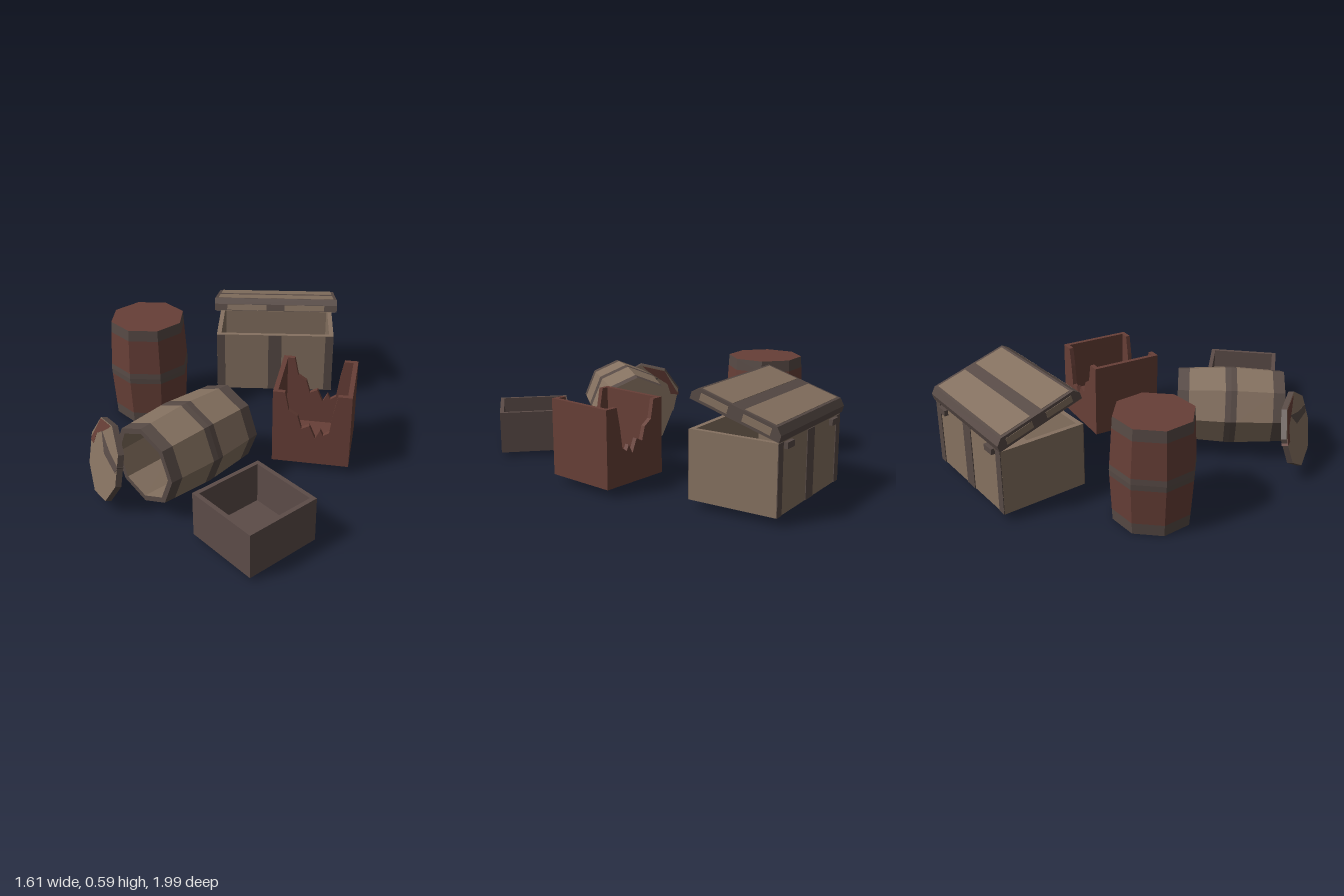
import * as THREE from 'three';

const mat = (name, color) => {
  const m = new THREE.MeshStandardMaterial({ color });
  m.name = name;
  return m;
};

export function createModel() {
  const tan = mat('paleWood', 0x857160);
  const red = mat('redWood', 0x673f37);
  const iron = mat('ironBand', 0x574a45);
  const gray = mat('grayWood', 0x5c4c48);
  const model = new THREE.Group();

  // Faceted mesh with hard normals
  const add = (parent, name, geo, material, x = 0, y = 0, z = 0) => {
    const g = geo.index ? geo.toNonIndexed() : geo;
    g.computeVertexNormals();
    const mesh = new THREE.Mesh(g, material);
    mesh.name = name;
    mesh.position.set(x, y, z);
    parent.add(mesh);
    return mesh;
  };
  const box = (parent, name, w, h, d, m, x, y, z) =>
    add(parent, name, new THREE.BoxGeometry(w, h, d), m, x, y, z);
  const group = (name, x, y, z, ry, rx = 0) => {
    const g = new THREE.Group();
    g.name = name;
    g.position.set(x, y, z);
    g.rotation.set(rx, ry, 0, 'YXZ');
    model.add(g);
    return g;
  };
  const polygon = (pts) => new THREE.Shape(pts.map(([x, y]) => new THREE.Vector2(x, y)));
  const extrude = (pts, depth) =>
    new THREE.ExtrudeGeometry(polygon(pts), { depth, bevelEnabled: false });

  // Eight-sided barrel along y, banded at both ends and the middle
  const H = 0.56;
  const radius = (y) => 0.217 - 0.017 * Math.abs(y - H / 2) / (H / 2);
  const barrel = (g, wood, phi, open) => {
    const ring = (name, pts, m) => add(g, name,
      new THREE.LatheGeometry(pts.map(([r, y]) => new THREE.Vector2(r, y)), 8, phi), m);
    const skin = (name, ys, m) => ring(name, ys.map((y) => [radius(y), y]), m);
    skin('lowerBand', [0, 0.06], iron);
    skin('lowerStaves', [0.06, 0.25], wood);
    skin('middleBand', [0.25, 0.28, 0.31], iron);
    skin('upperStaves', [0.31, 0.5], wood);
    skin('upperBand', [0.5, H], iron);
    ring('bottom', [[0, 0], [0.2, 0]], wood);
    if (open) {
      ring('rim', [[0.2, H], [0.172, H]], iron);
      ring('inside', [[0.172, H], [0.185, H / 2], [0.172, 0.03], [0, 0.03]], wood);
    } else ring('top', [[0.2, H], [0, H]], wood);
  };
  barrel(group('standingBarrel', -0.592, 0, 0.083, 0), red, 0.18, false);
  // Lying barrel: the open end points to the front
  barrel(group('lyingBarrel', 0.095, 0.25, 0.29, -0.151, Math.PI / 2), tan, 0, true);

  // Loose barrel lid leaning in front of the open barrel
  const lid = group('barrelLid', -0.2, 0.22, 0.87, -0.51, 1.33);
  const disc = new THREE.CylinderGeometry(0.2, 0.2, 0.03, 8, 1, false, 35 * Math.PI / 180);
  add(lid, 'lidDisc', disc, [iron, tan, tan]);
  const patch = (name, pts, m) => {
    const geo = extrude(pts, 0.032);
    geo.rotateX(-Math.PI / 2);
    add(lid, name, geo, m, 0, -0.016, 0);
  };
  patch('redStain', [[-0.197, 0], [-0.15, 0], [-0.13, 0.07], [-0.05, 0.125], [0.0, 0.165],
    [0.02, 0.188], [-0.115, 0.158]], red);
  patch('grayStain', [[-0.08, 0.115], [0.0, 0.03], [0.17, 0.02], [0.18, 0.06], [0.05, 0.075]], iron);

  // Box without a top: floor and four walls
  const walls = (g, w, h, d, t, m, sides = ['front', 'back']) => {
    box(g, 'floor', w, t, d, m, 0, t / 2, 0);
    for (const s of [-1, 1]) {
      box(g, s > 0 ? 'leftWall' : 'rightWall', t, h, d, m, s * (w - t) / 2, h / 2, 0);
      const name = s > 0 ? 'front' : 'back';
      if (sides.includes(name))
        box(g, name + 'Wall', w - 2 * t, h, t, m, 0, h / 2, s * (d - t) / 2);
    }
  };

  // Small open box
  walls(group('smallBox', 0.565, 0.02, 0.74, -0.245), 0.39, 0.23, 0.39, 0.022, gray);

  // Broken crate: front and back walls are split by a jagged notch
  const crate = group('brokenCrate', 0.4, 0.04, -0.058, 0.428);
  walls(crate, 0.39, 0.4, 0.39, 0.024, red, []);
  const broken = [[-0.171, 0], [0.171, 0], [0.171, 0.4], [0.125, 0.4], [0.105, 0.3], [0.09, 0.19],
    [0.06, 0.17], [0.045, 0.2], [0.02, 0.15], [-0.01, 0.22], [-0.05, 0.2], [-0.07, 0.27],
    [-0.115, 0.3], [-0.135, 0.4], [-0.171, 0.4]];
  add(crate, 'brokenFront', extrude(broken, 0.024), red, 0, 0, 0.171);
  add(crate, 'brokenBack', extrude(broken, 0.024), red, 0, 0, -0.195);

  // Chest body with upright bands on front and back
  const chest = group('chest', -0.21, 0.04, -0.61, 0.564);
  walls(chest, 0.66, 0.345, 0.46, 0.025, tan);
  for (const s of [-1, 1]) {
    box(chest, 'middleStrap', 0.075, 0.343, 0.008, iron, 0, 0.172, s * 0.23);
    for (const e of [-1, 1])
      box(chest, 'cornerStrap', 0.045, 0.343, 0.008, iron, e * 0.307, 0.172, s * 0.23);
    box(chest, 'hinge', 0.07, 0.03, 0.03, iron, s * 0.24, 0.325, -0.235);
  }

  // Chest lid, propped open about its back edge
  const cover = new THREE.Group();
  cover.name = 'chestLid';
  cover.position.set(0, 0.35, -0.238);
  cover.rotation.x = -0.3;
  chest.add(cover);
  const slab = extrude([[0, 0], [0, 0.035], [-0.03, 0.065], [-0.45, 0.065], [-0.48, 0.035],
    [-0.48, 0]], 0.68);
  slab.rotateY(Math.PI / 2);
  add(cover, 'lidFrame', slab, iron, -0.34, 0, 0);
  box(cover, 'lidUnderside', 0.66, 0.006, 0.46, tan, 0, 0, 0.24);
  for (const s of [-1, 1]) {
    box(cover, 'topPanel', 0.645, 0.006, 0.165, tan, 0, 0.064, 0.24 + s * 0.115);
    box(cover, 'frontPanel', 0.22, 0.03, 0.006, tan, s * 0.16, 0.018, 0.479);
    for (const e of [-1, 1])
      box(cover, 'endPanel', 0.006, 0.036, 0.15, tan, e * 0.339, 0.032, 0.24 + s * 0.115);
  }
  return model;
}
